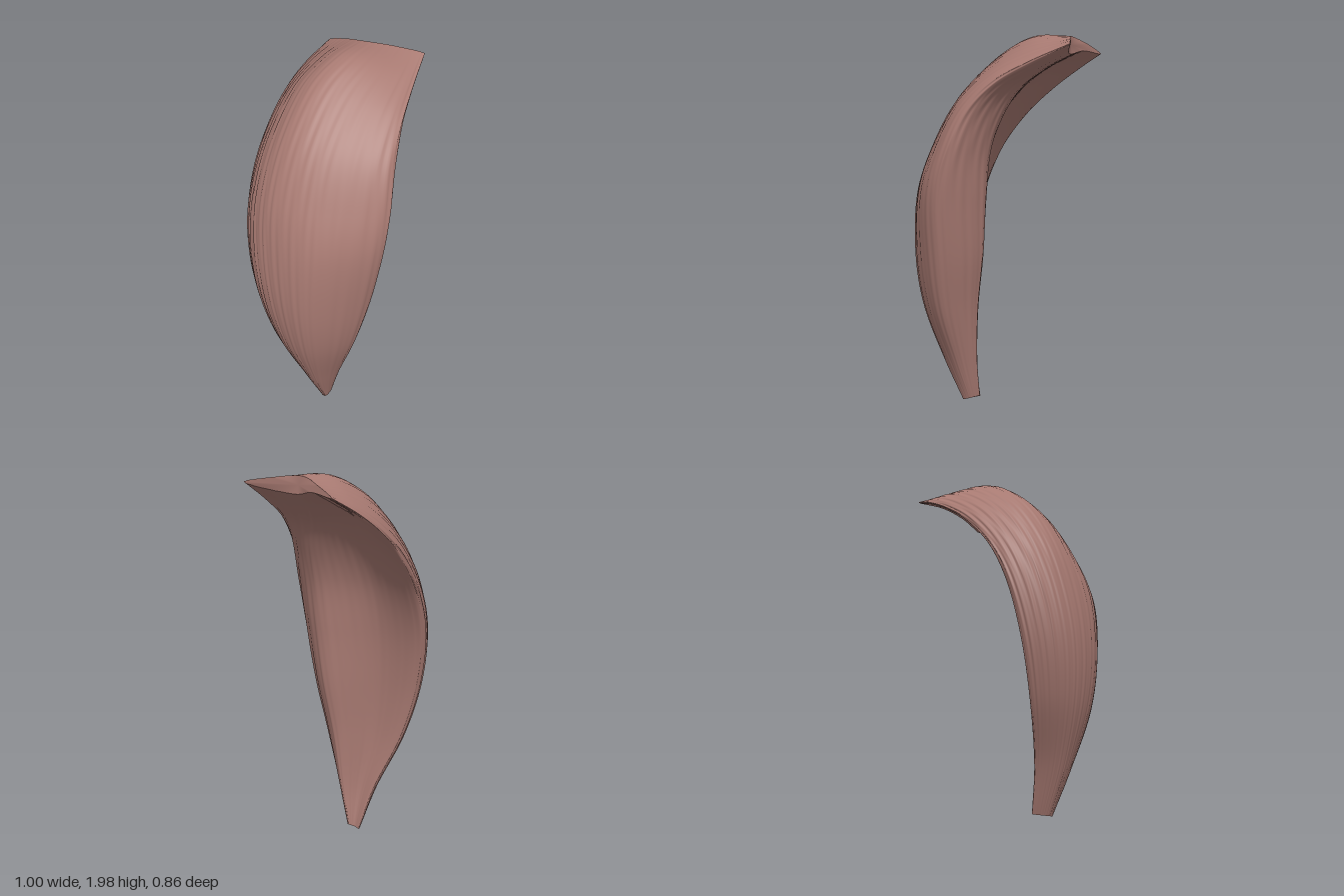
import * as THREE from 'three';

const AROUND = 200, ALONG = 90;

// Lengthwise rails, from the narrow lower end to the broad upper end
const rail = (...pts) => new THREE.CatmullRomCurve3(pts.map(p => new THREE.Vector3(...p)));
const frontRail = rail([-0.15, 0.03, 0.1], [-0.17, 0.25, 0.182], [-0.17, 0.55, 0.3], [-0.14, 0.85, 0.375],
  [-0.1, 1.2, 0.425], [-0.04, 1.42, 0.41], [0.04, 1.62, 0.355], [0.16, 1.76, 0.285], [0.32, 1.86, 0.2], [0.5, 1.95, 0.11]);
const outerRail = rail([-0.2, 0.01, 0.08], [-0.32, 0.25, 0.09], [-0.443, 0.55, 0.07], [-0.496, 0.85, 0.04],
  [-0.482, 1.15, 0], [-0.417, 1.42, -0.04], [-0.27, 1.69, -0.08], [-0.05, 1.9, -0.12], [0.14, 1.985, -0.12], [0.33, 1.985, -0.15]);
const backRail = rail([-0.15, 0.02, 0.01], [-0.225, 0.25, -0.028], [-0.33, 0.55, -0.13], [-0.375, 0.85, -0.215],
  [-0.35, 1.15, -0.287], [-0.26, 1.38, -0.337], [-0.12, 1.57, -0.383], [0.04, 1.71, -0.418], [0.19, 1.81, -0.427], [0.337, 1.89, -0.412]);
const innerRail = rail([-0.115, 0.04, 0.06], [-0.1, 0.25, 0.1], [-0.07, 0.55, 0.13], [-0.02, 0.85, 0.15],
  [0.008, 1.15, 0.165], [0.033, 1.4, 0.165], [0.08, 1.58, 0.13], [0.13, 1.71, 0.06], [0.21, 1.8, -0.03], [0.345, 1.895, -0.12]);

// Closed lens-shaped section joining the rails, with fine lengthwise fibre grooves
function section(t) {
  const [f, o, b, r] = [frontRail, outerRail, backRail, innerRail].map(c => c.getPoint(t));
  const between = (p, q, from, k) => {
    const m = p.clone().lerp(q, 0.5);
    return m.addScaledVector(m.clone().sub(from), k);
  };
  const loop = new THREE.CatmullRomCurve3(
    [f, between(f, o, r, 0.35 - 0.25 * t ** 4), o, between(o, b, r, 0.1), b, between(b, r, o, -0.18), r], true);
  const centre = o.clone().lerp(r, 0.5);
  const ring = [];
  for (let j = 0; j < AROUND; j++) {
    const u = j / AROUND, a = u * Math.PI * 2;
    const groove = 0.006 * Math.sin(29 * a + 5 * t + Math.sin(9 * t)) + 0.005 * Math.sin(47 * a - 9 * t + 2 * Math.sin(6 * t));
    const p = loop.getPoint(u);
    ring.push(p.addScaledVector(p.clone().sub(centre), groove));
  }
  return { ring, centre };
}

function buildGeometry(points, index) {
  const g = new THREE.BufferGeometry().setFromPoints(points);
  g.setIndex(index);
  g.computeVertexNormals();
  return g;
}

// Fan closing one end
function endCap({ ring, centre }, top) {
  const index = [];
  for (let j = 0; j < AROUND; j++) {
    const k = (j + 1) % AROUND;
    index.push(AROUND, ...(top ? [k, j] : [j, k]));
  }
  return buildGeometry([...ring, centre], index);
}

export function createModel() {
  const group = new THREE.Group();
  group.name = 'muscle';
  const material = new THREE.MeshStandardMaterial({ color: 0xa87a72 });
  const add = (name, geometry) => {
    const mesh = new THREE.Mesh(geometry, material);
    mesh.name = name;
    group.add(mesh);
  };

  const sections = [];
  for (let i = 0; i <= ALONG; i++) sections.push(section(i / ALONG));

  // Curved belly skinned across the sections
  const index = [];
  for (let i = 0; i < ALONG; i++) {
    for (let j = 0; j < AROUND; j++) {
      const k = (j + 1) % AROUND;
      const a = i * AROUND + j, b = i * AROUND + k;
      index.push(a, a + AROUND, b, b, a + AROUND, b + AROUND);
    }
  }
  add('muscleBelly', buildGeometry(sections.flatMap(s => s.ring), index));

  // Cut ends
  add('lowerEnd', endCap(sections[0], false));
  add('upperEnd', endCap(sections[ALONG], true));
  return group;
}
